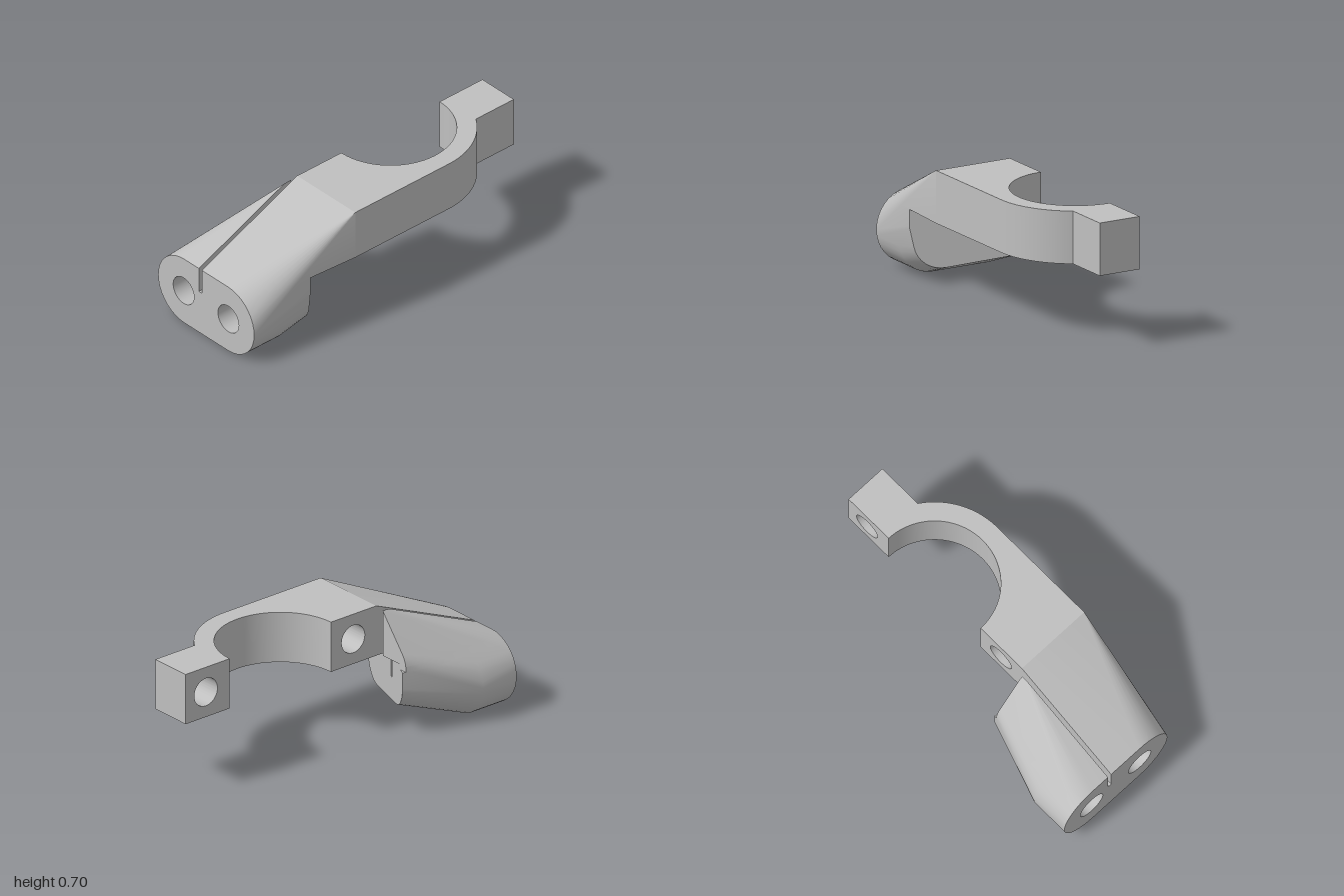
import * as THREE from 'three';
import { toCreasedNormals } from 'three/addons/utils/BufferGeometryUtils.js';
import { ConvexGeometry } from 'three/addons/geometries/ConvexGeometry.js';

const SLOT_L = -0.08, SLOT_R = -0.057, SLOT_Y = 0.262;   // saw slot
const LOW = 0.41, TOP = 0.7;                             // arm underside and top
const R = 0.205, CX = [0.15, -0.195];                    // rounded front end
const INNER = 0.35, OUTER = 0.457, CZ = -0.345;          // clamp curve

// Points of a half circle of the rounded front end
function halfCircle(cx, start) {
  return Array.from({ length: 19 }, (_, i) => {
    const a = start + (Math.PI * i) / 18;
    return new THREE.Vector2(cx + R * Math.cos(a), R + R * Math.sin(a));
  });
}

// Clip a convex point set by planes [a, b, c, d], keeping ax + by + cz + d >= 0
function clip(points, planes) {
  for (const [a, b, c, d] of planes) {
    const pos = new ConvexGeometry(points).attributes.position;
    const dist = (p) => a * p.x + b * p.y + c * p.z + d;
    const kept = new Map();
    const keep = (p) => kept.set(p.toArray().map((v) => v.toFixed(5)).join(), p);
    for (let i = 0; i < pos.count; i++) {
      const p = new THREE.Vector3().fromBufferAttribute(pos, i);
      const next = i % 3 === 2 ? i - 2 : i + 1;
      const q = new THREE.Vector3().fromBufferAttribute(pos, next);
      const dp = dist(p), dq = dist(q);
      if (dp >= -1e-6) keep(p);
      if (dp * dq < -1e-12) keep(p.clone().lerp(q, dp / (dp - dq)));
    }
    points = [...kept.values()];
  }
  return points;
}

// Convex piece without its front face, which is made separately with holes
function openHull(points) {
  const src = new ConvexGeometry(points).attributes.position.array;
  const out = [];
  for (let i = 0; i < src.length; i += 9) {
    if (Math.min(src[i + 2], src[i + 5], src[i + 8]) < 0.9999) out.push(...src.slice(i, i + 9));
  }
  const geo = new THREE.BufferGeometry();
  geo.setAttribute('position', new THREE.Float32BufferAttribute(out, 3));
  return toCreasedNormals(geo, 0.4);
}

function circleHole(x, y, r) {
  const hole = new THREE.Path();
  hole.absarc(x, y, r, 0, Math.PI * 2, true);
  return hole;
}

export function createModel() {
  const model = new THREE.Group();
  model.name = 'clampBracket';
  const grey = new THREE.MeshStandardMaterial({ color: 0xbfbfbf, side: THREE.DoubleSide });
  grey.name = 'grey';
  const add = (name, geo) => {
    const mesh = new THREE.Mesh(geo, grey);
    mesh.name = name;
    model.add(mesh);
    return mesh;
  };

  // Body: the rounded front end blended into the arm
  const rightArc = halfCircle(CX[0], -Math.PI / 2);
  const leftArc = halfCircle(CX[1], Math.PI / 2);
  const hull = [];
  for (const p of [...rightArc, ...leftArc]) {
    for (const z of [0.77, 1]) hull.push(new THREE.Vector3(p.x, p.y, z));
  }
  for (const x of [SLOT_R, 0.4]) for (const y of [LOW, TOP]) for (const z of [CZ, 0.32]) {
    hull.push(new THREE.Vector3(x, y, z));
  }
  const leftOf = (x) => [-1, 0, 0, x];
  const rightOf = (x) => [1, 0, 0, -x];
  const below = (y) => [0, -1, 0, y];
  const above = (y) => [0, 1, 0, -y];
  const inFrontOf = (z) => [0, 0, 1, -z];
  const slantedBack = [-0.46, 0, 1, -0.447];

  const pieces = {
    bodyLowerRight: [leftOf(SLOT_L), below(0.38), slantedBack],
    bodyLedgeRight: [leftOf(SLOT_L), above(0.38), below(LOW), slantedBack, inFrontOf(0.345)],
    bodyUpperRight: [leftOf(SLOT_L), above(LOW), inFrontOf(0.345)],
    bodyUnderSlot: [rightOf(SLOT_L), leftOf(SLOT_R), below(SLOT_Y), slantedBack],
    bodyLowerLeft: [rightOf(SLOT_R), below(LOW), slantedBack],
    bodyUpperLeft: [rightOf(SLOT_R), above(LOW), inFrontOf(0.32)],
  };
  for (const [name, planes] of Object.entries(pieces)) add(name, openHull(clip(hull, planes)));

  // Front face with slot and two bores
  const slot = [[SLOT_R, 2 * R], [SLOT_R, SLOT_Y], [SLOT_L, SLOT_Y], [SLOT_L, 2 * R]];
  const face = new THREE.Shape([
    ...rightArc, ...slot.map(([x, y]) => new THREE.Vector2(x, y)), ...leftArc,
  ]);
  const boreR = 0.082, boreDepth = 0.4;
  for (const x of [-0.2, 0.152]) {
    face.holes.push(circleHole(x, R, boreR));
    const wall = new THREE.CylinderGeometry(boreR, boreR, boreDepth, 48, 1, true);
    add('boreWall', wall.rotateX(Math.PI / 2).translate(x, R, 1 - boreDepth / 2));
    add('boreEnd', new THREE.CircleGeometry(boreR, 48).translate(x, R, 1 - boreDepth));
  }
  add('frontFace', new THREE.ShapeGeometry(face, 24).translate(0, 0, 1));

  // Curved arm, drawn from above with shape y = -z
  const frontZ = CZ + INNER, backZ = CZ - INNER;
  const boltX = 0.13, endBoltX = 0.1;
  const end = Math.acos((0.19 - SLOT_R) / OUTER);
  const arm = new THREE.Shape();
  arm.moveTo(boltX, -0.32);
  arm.lineTo(0.4, -0.32);
  arm.absarc(SLOT_R, -CZ, OUTER, 0, end, false);
  arm.lineTo(0.19, 1);
  arm.lineTo(endBoltX, 1);
  arm.lineTo(endBoltX, -backZ);
  arm.lineTo(SLOT_R, -backZ);
  arm.absarc(SLOT_R, -CZ, INNER, Math.PI / 2, -Math.PI / 2, true);
  arm.lineTo(boltX, -frontZ);
  const armGeo = new THREE.ExtrudeGeometry(arm, { depth: TOP - LOW, bevelEnabled: false, curveSegments: 40 });
  add('curvedArm', toCreasedNormals(armGeo.rotateX(-Math.PI / 2).translate(0, LOW, 0), 0.4));

  // Clamp lugs with blind bolt holes opening to the right
  const lug = (name, z0, z1, holeZ, x1) => {
    const s = new THREE.Shape();
    s.moveTo(-z1, LOW);
    s.lineTo(-z0, LOW);
    s.lineTo(-z0, TOP);
    s.lineTo(-z1, TOP);
    s.holes.push(circleHole(-holeZ, (LOW + TOP) / 2, 0.08));
    const geo = new THREE.ExtrudeGeometry(s, { depth: x1 - SLOT_R, bevelEnabled: false, curveSegments: 40 });
    add(name, toCreasedNormals(geo.rotateY(Math.PI / 2).translate(SLOT_R, 0, 0), 0.4));
  };
  lug('frontLug', frontZ, 0.32, 0.16, boltX);
  lug('backLug', -1, backZ, -0.86, endBoltX);

  return model;
}
